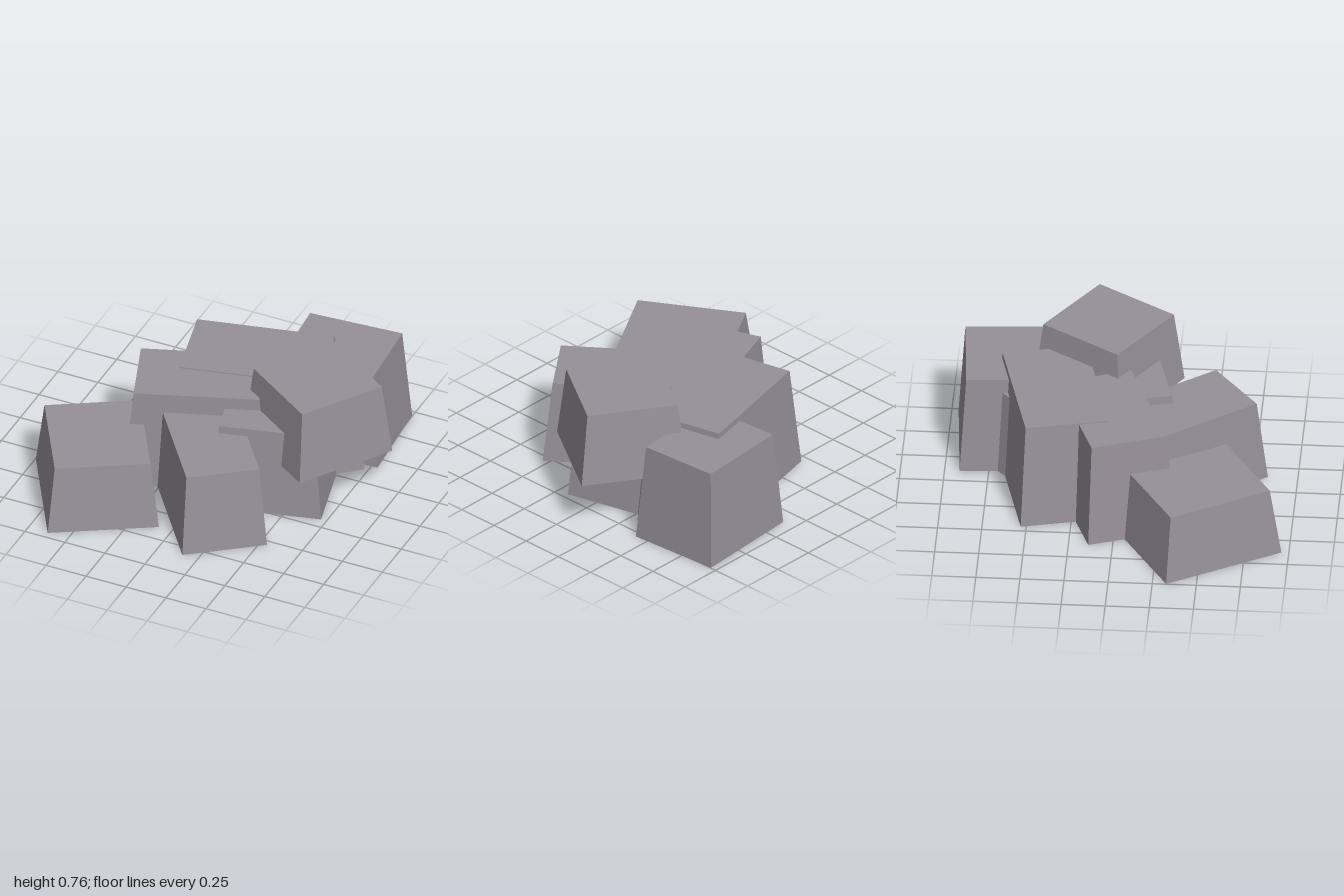
import * as THREE from 'three';

const TAPER = 0.86; // top size relative to the base

// A box narrowed toward its top, standing on y = 0
function taperedBox(width, height, depth) {
  const geometry = new THREE.BoxGeometry(width, height, depth);
  geometry.translate(0, height / 2, 0);
  const p = geometry.attributes.position;
  for (let i = 0; i < p.count; i++) {
    if (p.getY(i) > height / 2) {
      p.setX(i, p.getX(i) * TAPER);
      p.setZ(i, p.getZ(i) * TAPER);
    }
  }
  geometry.computeVertexNormals();
  return geometry;
}

export function createModel() {
  const group = new THREE.Group();
  group.name = 'rockPile';
  const stone = new THREE.MeshStandardMaterial({ color: 0x968f99 });
  stone.name = 'stone grey';

  // name, base centre [x, y, z], base size [width, height, depth], turn about y
  const rocks = [
    ['frontLeftRock', [-0.54, 0, 0.483], [0.632, 0.405, 0.73], 0.532],
    ['frontRock', [0.123, 0, 0.381], [0.489, 0.493, 0.755], 0.645],
    ['middleLeftRock', [-0.142, 0, -0.037], [0.832, 0.61, 0.515], 0.347],
    ['middleBackRock', [0.059, 0, -0.366], [0.926, 0.617, 0.557], 0.23],
    ['centreRock', [0.338, 0, -0.007], [0.64, 0.54, 0.547], 0.248],
    ['innerRock', [0.285, 0, -0.411], [0.6, 0.5, 0.654], 0.74],
    ['backRightRock', [0.444, 0, -0.666], [0.649, 0.583, 0.547], 0.074],
    ['topRock', [0.564, 0.325, -0.1], [0.613, 0.432, 0.613], -0.585],
  ];
  for (const [name, position, size, turn] of rocks) {
    const rock = new THREE.Mesh(taperedBox(...size), stone);
    rock.name = name;
    rock.position.set(...position);
    rock.rotation.y = turn;
    group.add(rock);
  }
  return group;
}
